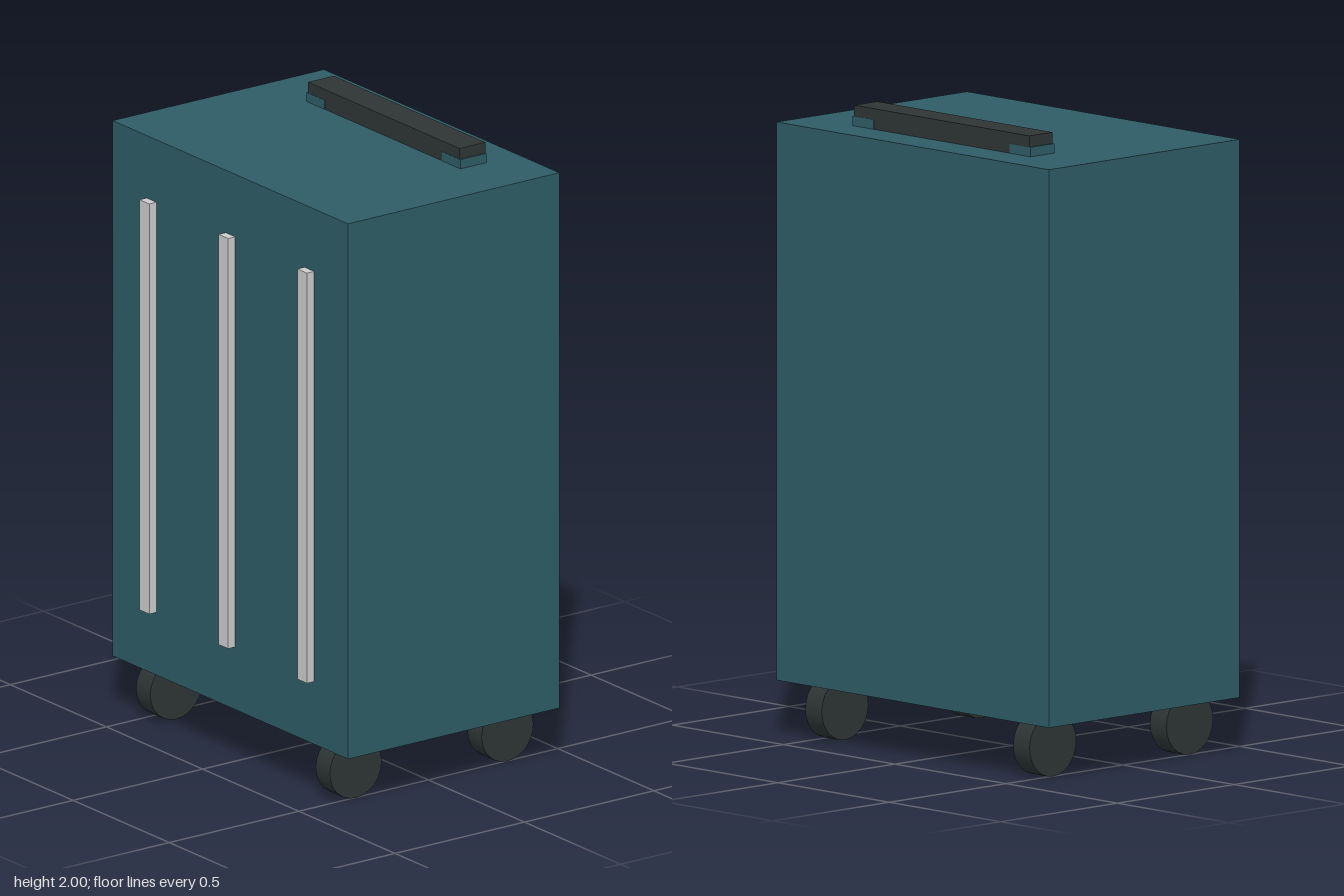
import * as THREE from 'three';

const mat = (name, color) => {
  const m = new THREE.MeshStandardMaterial({ color });
  m.name = name;
  return m;
};

export function createModel() {
  const teal = mat('teal shell', 0x2e5c65);
  const dark = mat('dark rubber', 0x2e3535);
  const silver = mat('silver trim', 0xcccccc);
  const group = new THREE.Group();
  group.name = 'suitcase';

  // Box given by its minimum and maximum corners
  const box = (name, material, [x0, y0, z0], [x1, y1, z1]) => {
    const mesh = new THREE.Mesh(new THREE.BoxGeometry(x1 - x0, y1 - y0, z1 - z0), material);
    mesh.position.set((x0 + x1) / 2, (y0 + y1) / 2, (z0 + z1) / 2);
    mesh.name = name;
    group.add(mesh);
  };

  // Shell
  box('body', teal, [-0.612, 0.18, -0.423], [0.612, 1.935, 0.393]);

  // Vertical trim strips on the front
  for (const x of [-0.41, 0, 0.41]) {
    box('trimStrip', silver, [x - 0.025, 0.385, 0.39], [x + 0.025, 1.73, 0.42]);
  }

  // Top handle: grip bar with a teal mount wrapping each end
  box('handleGrip', dark, [-0.394, 1.93, -0.299], [0.394, 2, -0.199]);
  for (const s of [-1, 1]) {
    const xs = [s * 0.305, s * 0.4].sort((a, b) => a - b);
    box('handleMount', teal, [xs[0], 1.93, -0.3], [xs[1], 1.965, -0.198]);
  }

  // Four wheels with sideways axles
  const wheelGeometry = new THREE.CylinderGeometry(0.1, 0.1, 0.074, 24).rotateZ(Math.PI / 2);
  for (const x of [-0.467, 0.467]) {
    for (const z of [0.283, -0.303]) {
      const wheel = new THREE.Mesh(wheelGeometry, dark);
      wheel.position.set(x, 0.1, z);
      wheel.name = 'wheel';
      group.add(wheel);
    }
  }
  return group;
}
